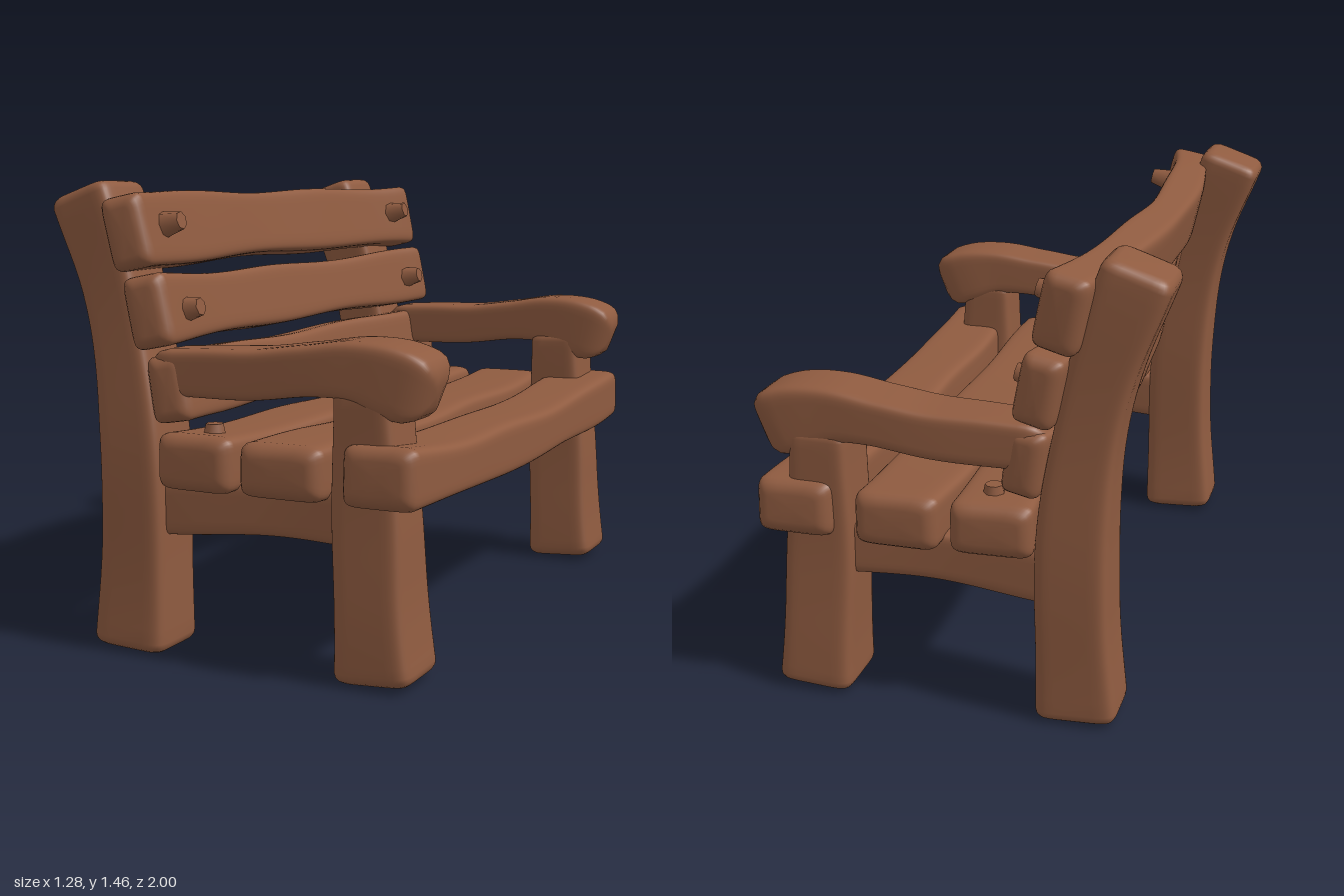
import * as THREE from 'three';

const wood = new THREE.MeshStandardMaterial({ color: 0x8f5b40 });
wood.name = 'brown wood';

const SIDES = 40;
let seed = 1;

// Point on a rounded rectangle with half sizes a and b
function section(angle, a, b) {
  const c = Math.cos(angle), s = Math.sin(angle), e = 0.3;
  return [a * Math.sign(c) * Math.abs(c) ** e, b * Math.sign(s) * Math.abs(s) ** e];
}

// Worn timber swept along stations [x, y, z, halfU, halfV]; "across" is the halfV direction
function timber(name, stations, across, radius = 0.04) {
  const path = new THREE.CatmullRomCurve3(stations.map(s => new THREE.Vector3(s[0], s[1], s[2])));
  const size = new THREE.CatmullRomCurve3(stations.map(s => new THREE.Vector3(s[3], s[4], 0)));
  const length = path.getLength(), phase = seed++ * 1.7;

  // Rings: rounded start, body, rounded end
  const cap = [0, 1, 2, 3, 4].map(k => {
    const a = k / 4 * Math.PI / 2;
    return [radius * (1 - Math.cos(a)) / length, radius * (1 - Math.sin(a))];
  });
  const rings = [...cap];
  const edge = radius / length;
  for (let i = 1; i < 30; i++) rings.push([edge + (1 - 2 * edge) * i / 30, 0]);
  cap.slice().reverse().forEach(([u, inset]) => rings.push([1 - u, inset]));

  const pos = [], index = [];
  for (const [at, inset] of rings) {
    const t = path.getUtoTmapping(at);
    const p = path.getPoint(t), tangent = path.getTangent(t), h = size.getPoint(t);
    const u = across.clone().cross(tangent).normalize();
    const v = tangent.clone().cross(u);
    const d = at * length;
    const a = h.x - inset + 0.004 * Math.sin(d * 9 + phase);
    const b = h.y - inset + 0.005 * Math.sin(d * 7 + phase * 2);
    for (let j = 0; j < SIDES; j++) {
      const [x, y] = section((j + 0.5) / SIDES * Math.PI * 2, a, b);
      const q = p.clone().addScaledVector(u, x).addScaledVector(v, y);
      pos.push(q.x, q.y, q.z);
    }
  }
  for (let i = 0; i < rings.length - 1; i++) {
    for (let j = 0; j < SIDES; j++) {
      const k = (j + 1) % SIDES, a = i * SIDES, b = a + SIDES;
      index.push(a + j, a + k, b + k, a + j, b + k, b + j);
    }
  }
  // End faces
  const first = path.getPoint(0), last = path.getPoint(1);
  pos.push(first.x, first.y, first.z, last.x, last.y, last.z);
  const c0 = rings.length * SIDES, top = c0 - SIDES;
  for (let j = 0; j < SIDES; j++) {
    const k = (j + 1) % SIDES;
    index.push(c0, k, j, c0 + 1, top + j, top + k);
  }
  const g = new THREE.BufferGeometry();
  g.setAttribute('position', new THREE.Float32BufferAttribute(pos, 3));
  g.setIndex(index);
  g.computeVertexNormals();
  const mesh = new THREE.Mesh(g, wood);
  mesh.name = name;
  return mesh;
}

// Plank along z, bowed in the middle by (bowX, bowY) and leaning back by tilt
function plank(name, x, y, halfX, halfY, halfLength, bowX, bowY, tilt, radius) {
  const stations = [-1, -0.75, -0.4, 0, 0.4, 0.75, 1].map(k => {
    const bend = 1 - k * k;
    return [x + bowX * bend, y + bowY * bend, k * halfLength, halfX, halfY - 0.008 * bend];
  });
  return timber(name, stations, new THREE.Vector3(-Math.sin(tilt), Math.cos(tilt), 0), radius);
}

// Faceted wooden peg pointing along dir
function peg(name, x, y, z, dir) {
  const m = new THREE.Mesh(new THREE.CylinderGeometry(0.028, 0.042, 0.07, 7), wood);
  m.name = name;
  m.position.set(x, y, z);
  m.quaternion.setFromUnitVectors(new THREE.Vector3(0, 1, 0), dir.normalize());
  return m;
}

export function createModel() {
  seed = 1;
  const bench = new THREE.Group();
  bench.name = 'bench';
  const zAxis = new THREE.Vector3(0, 0, 1);

  for (const s of [1, -1]) {
    const side = s > 0 ? 'left' : 'right';

    // Curved rear post
    bench.add(timber(side + 'RearPost', [
      [-0.375, 0.005, 0.85 * s, 0.126, 0.12],
      [-0.357, 0.4, 0.85 * s, 0.117, 0.112],
      [-0.36, 0.65, 0.848 * s, 0.106, 0.11],
      [-0.388, 0.9, 0.843 * s, 0.101, 0.11],
      [-0.447, 1.17, 0.835 * s, 0.1, 0.112],
      [-0.54, 1.435, 0.83 * s, 0.106, 0.115]], zAxis, 0.035));

    // Front leg
    bench.add(timber(side + 'FrontLeg', [
      [0.473, 0.01, 0.853 * s, 0.128, 0.122],
      [0.455, 0.3, 0.853 * s, 0.113, 0.114],
      [0.44, 0.6, 0.853 * s, 0.105, 0.106],
      [0.432, 0.88, 0.853 * s, 0.095, 0.102]], zAxis, 0.035));

    // Armrest with drooping rounded front
    bench.add(timber(side + 'Armrest', [
      [-0.29, 0.885, 0.865 * s, 0.074, 0.09],
      [-0.1, 0.89, 0.865 * s, 0.073, 0.092],
      [0.08, 0.896, 0.863 * s, 0.073, 0.096],
      [0.25, 0.917, 0.86 * s, 0.078, 0.1],
      [0.4, 0.925, 0.856 * s, 0.092, 0.105],
      [0.52, 0.9, 0.852 * s, 0.105, 0.11],
      [0.63, 0.858, 0.852 * s, 0.1, 0.106]], zAxis, 0.07));

    // Rail joining the legs beneath the seat
    bench.add(timber(side + 'SeatRail', [
      [-0.3, 0.46, 0.84 * s, 0.085, 0.075],
      [0.05, 0.483, 0.84 * s, 0.083, 0.072],
      [0.4, 0.485, 0.84 * s, 0.085, 0.075]], zAxis, 0.02));

    // Pegs in the slats and the seat
    bench.add(peg(side + 'TopSlatPeg', -0.26, 1.335, 0.83 * s, new THREE.Vector3(1, 0.22, 0)));
    bench.add(peg(side + 'MiddleSlatPeg', -0.196, 1.075, 0.83 * s, new THREE.Vector3(1, 0.2, 0)));
    bench.add(peg(side + 'SeatPeg', -0.1, 0.695, 0.86 * s, new THREE.Vector3(0, 1, 0)));
  }

  // Seat planks
  bench.add(plank('rearSeatPlank', -0.118, 0.62, 0.128, 0.088, 0.98, 0.022, -0.01, 0, 0.045));
  bench.add(plank('middleSeatPlank', 0.18, 0.618, 0.137, 0.086, 0.985, 0, -0.015, 0, 0.045));
  bench.add(plank('frontSeatPlank', 0.505, 0.632, 0.122, 0.09, 0.995, 0, -0.035, 0, 0.045));

  // Bowed back slats
  bench.add(plank('topBackSlat', -0.325, 1.308, 0.068, 0.118, 0.995, -0.09, -0.002, 0.22, 0.04));
  bench.add(plank('middleBackSlat', -0.258, 1.073, 0.067, 0.107, 0.99, -0.08, -0.015, 0.2, 0.04));
  bench.add(plank('lowerBackSlat', -0.208, 0.838, 0.066, 0.108, 0.96, -0.08, -0.015, 0.15, 0.04));

  return bench;
}
